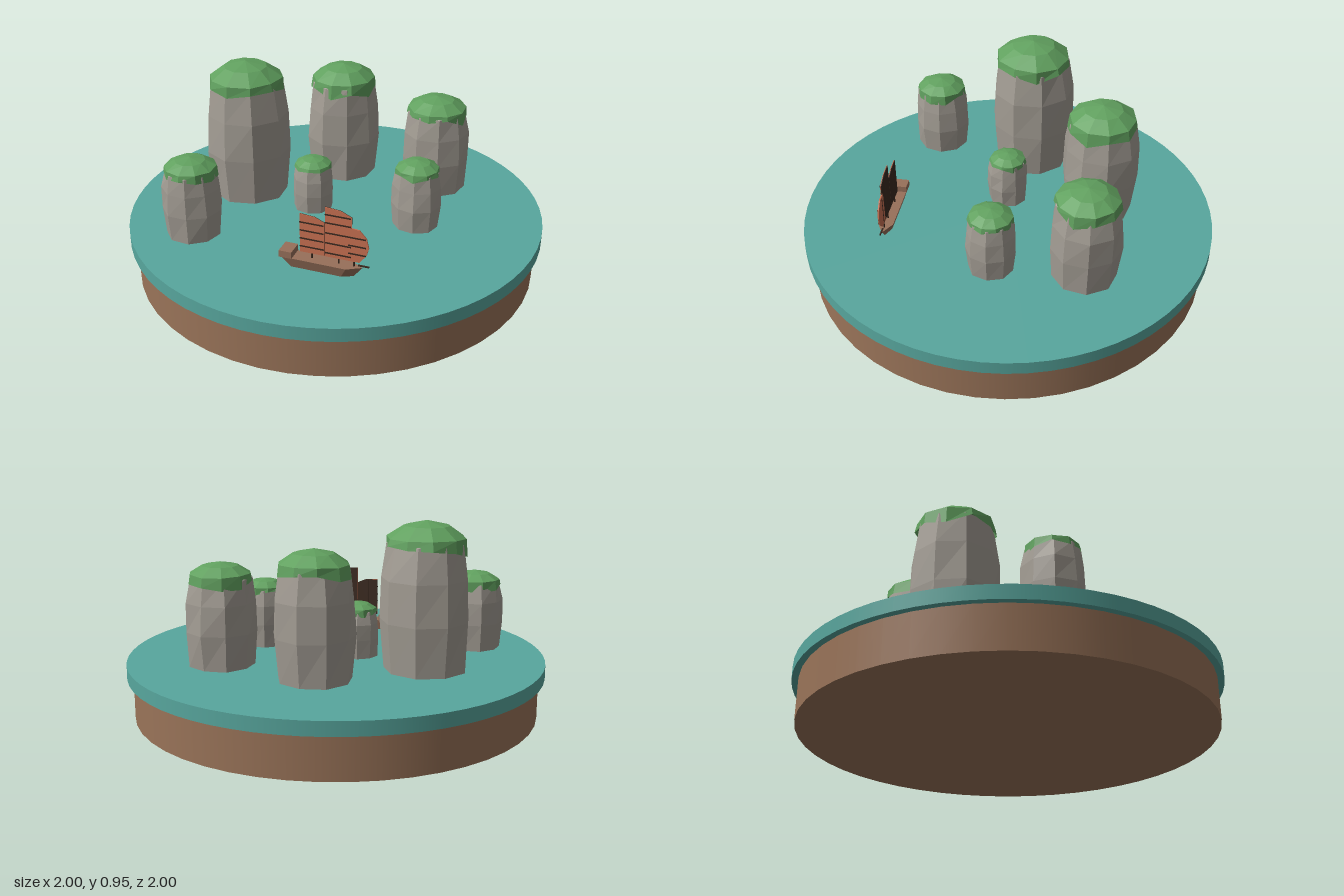
import * as THREE from 'three';

const mat = (name, color, extra = {}) => {
  const m = new THREE.MeshStandardMaterial({ color, ...extra });
  m.name = name;
  return m;
};

// Seeded random numbers in -1..1
function makeRandom(seed) {
  return () => {
    seed = (seed * 16807) % 2147483647;
    return (seed / 2147483647) * 2 - 1;
  };
}

// Closed rings of corners joined by faces, with a pointed top.
// Each ring is [radius, y, radiusJitter, yJitter].
function ringGeometry(rings, sides, apexY, rand) {
  const pos = [], index = [];
  rings.forEach(([r, y, jr, jy]) => {
    for (let i = 0; i < sides; i++) {
      const a = (i / sides) * Math.PI * 2;
      const rr = r * (1 + rand() * jr);
      pos.push(Math.sin(a) * rr, y + rand() * jy, Math.cos(a) * rr);
    }
  });
  const apex = rings.length * sides;
  pos.push(0, apexY, 0);
  for (let j = 0; j < rings.length; j++) {
    for (let i = 0; i < sides; i++) {
      const a = j * sides + i, b = j * sides + ((i + 1) % sides);
      if (j === rings.length - 1) index.push(a, b, apex);
      else index.push(a, b, b + sides, a, b + sides, a + sides);
    }
  }
  const g = new THREE.BufferGeometry();
  g.setAttribute('position', new THREE.Float32BufferAttribute(pos, 3));
  g.setIndex(index);
  g.computeVertexNormals();
  return g;
}

export function createModel() {
  const model = new THREE.Group();
  model.name = 'islandBay';
  const earth = mat('earth', 0x9a7459);
  const water = mat('water', 0x58a79e);
  const stone = mat('stone', 0xa39d94, { flatShading: true });
  const moss = mat('moss', 0x61a15f, { flatShading: true, side: THREE.DoubleSide });
  const wood = mat('wood', 0x97705a, { flatShading: true });
  const darkWood = mat('dark wood', 0x3a291f);
  const sailCloth = mat('sail cloth', 0xc87052);

  const add = (parent, name, geometry, material, x = 0, y = 0, z = 0) => {
    const mesh = new THREE.Mesh(geometry, material);
    mesh.name = name;
    mesh.position.set(x, y, z);
    parent.add(mesh);
    return mesh;
  };

  // Round base and water disc
  add(model, 'earthBase', new THREE.CylinderGeometry(0.97, 0.97, 0.2, 48), earth, 0, 0.1, 0);
  add(model, 'waterDisc', new THREE.CylinderGeometry(1, 1, 0.065, 64), water, 0, 0.2325, 0);

  // Rock towers with mossy caps: x, z, widest radius, top y
  const seaY = 0.265;
  const towers = [
    [-0.39, -0.29, 0.212, 0.95],
    [0.12, -0.43, 0.188, 0.85],
    [0.54, -0.16, 0.17, 0.75],
    [-0.695, 0.1, 0.142, 0.65],
    [0.345, 0.22, 0.12, 0.6],
    [-0.105, -0.04, 0.102, 0.53],
  ];
  towers.forEach(([x, z, r, top], n) => {
    const h = top - seaY;
    const rand = makeRandom(1237 + n * 7919);
    const tower = new THREE.Group();
    tower.name = 'rockTower' + (n + 1);
    tower.position.set(x, seaY, z);
    tower.rotation.y = n * 1.3;
    model.add(tower);
    add(tower, 'rock', ringGeometry([
      [r * 0.91, 0, 0.03, 0],
      [r * 0.98, h * 0.34, 0.035, 0],
      [r * 0.95, h * 0.62, 0.035, 0],
      [r * 0.84, h * 0.85, 0.03, 0],
      [r * 0.55, h * 0.91, 0, 0],
    ], 9, h * 0.93, rand), stone);
    add(tower, 'mossCap', ringGeometry([
      [r * 0.89, h * 0.8, 0.03, h * 0.045],
      [r * 0.85, h * 0.89, 0.02, h * 0.006],
      [r * 0.5, h * 0.965, 0.02, 0],
    ], 10, h, rand), moss);
  });

  // Boat, bow along its local +x
  const boat = new THREE.Group();
  boat.name = 'sailingBoat';
  boat.position.set(-0.165, 0, 0.545);
  boat.rotation.y = -0.541;
  model.add(boat);

  // Hull: pointed deck outline, narrowed towards the waterline
  const deck = new THREE.Shape();
  [[-0.175, -0.038], [0.125, -0.038], [0.19, 0], [0.125, 0.038], [-0.175, 0.038]]
    .forEach(([px, py], i) => (i ? deck.lineTo(px, py) : deck.moveTo(px, py)));
  const hull = new THREE.ExtrudeGeometry(deck, { depth: 0.052, bevelEnabled: false });
  hull.rotateX(-Math.PI / 2);
  const p = hull.attributes.position;
  for (let i = 0; i < p.count; i++) {
    if (p.getY(i) < 0.01) p.setXYZ(i, p.getX(i) * 0.78, p.getY(i), p.getZ(i) * 0.6);
  }
  hull.computeVertexNormals();
  add(boat, 'hull', hull, wood, 0, 0.264, 0);
  add(boat, 'sternDeck', new THREE.BoxGeometry(0.06, 0.032, 0.08), wood, -0.157, 0.331, 0);
  add(boat, 'bowsprit', new THREE.BoxGeometry(0.05, 0.006, 0.006), darkWood, 0.195, 0.325, 0);

  // Sails: outline in boat length and height, plus batten lines
  const sails = [
    { name: 'rearSail', back: darkWood, battens: [0.37, 0.41, 0.45, 0.49], from: -0.1, to: 0.012,
      pts: [[-0.1, 0.34], [0.015, 0.34], [0.015, 0.505], [-0.03, 0.525], [-0.1, 0.53]] },
    { name: 'mainSail', back: darkWood, battens: [0.36, 0.41, 0.46, 0.51, 0.55], from: 0.018, to: 0.137,
      pts: [[0.018, 0.34], [0.14, 0.34], [0.14, 0.555], [0.09, 0.578], [0.018, 0.585]] },
    { name: 'foreSail', back: sailCloth, battens: [0.38, 0.42, 0.46], from: 0.125, to: 0.205,
      pts: [[0.125, 0.34], [0.175, 0.34], [0.207, 0.38], [0.218, 0.42], [0.207, 0.465], [0.175, 0.5], [0.125, 0.505]] },
  ];
  sails.forEach(({ name, back, battens, from, to, pts }) => {
    const sail = new THREE.Group();
    sail.name = name;
    boat.add(sail);
    const shape = new THREE.Shape(pts.map(([px, py]) => new THREE.Vector2(px, py)));
    const sheet = new THREE.ExtrudeGeometry(shape, { depth: 0.003, bevelEnabled: false });
    add(sail, name + 'Front', sheet, sailCloth, 0, 0, 0);
    add(sail, name + 'Back', sheet, back, 0, 0, -0.003);
    battens.forEach((y) => add(sail, 'batten',
      new THREE.BoxGeometry(to - from, 0.006, 0.004), darkWood, (from + to) / 2, y, 0.004));
  });

  // Masts
  [[-0.045, 0.525], [0.08, 0.575], [0.15, 0.49]].forEach(([x, top]) =>
    add(boat, 'mast', new THREE.CylinderGeometry(0.004, 0.004, top - 0.31, 6), darkWood,
      x, (top + 0.31) / 2, -0.001));
  return model;
}
